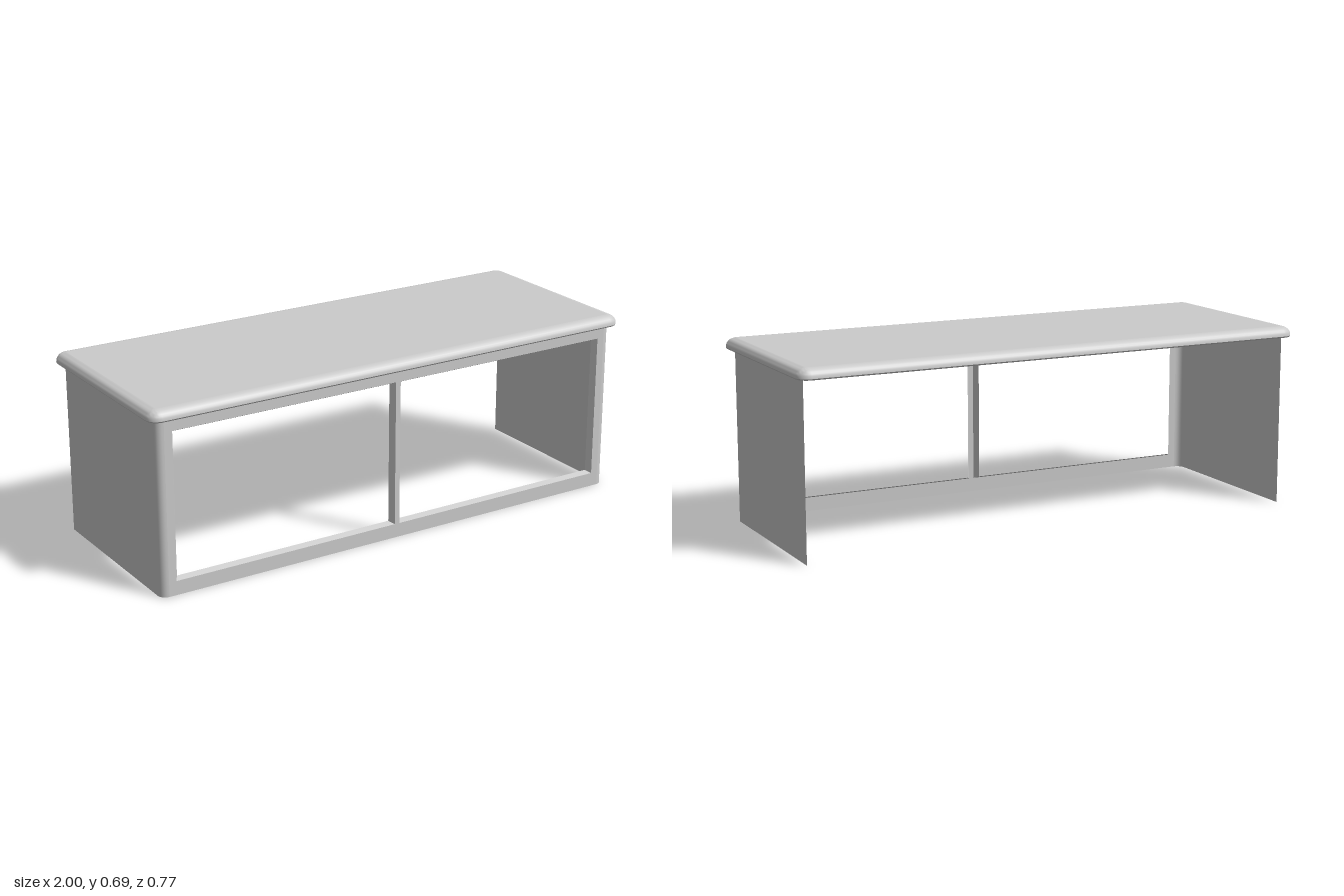
import * as THREE from 'three';
import { toCreasedNormals } from 'three/addons/utils/BufferGeometryUtils.js';

const material = new THREE.MeshStandardMaterial({ color: 0xcccccc, side: THREE.DoubleSide });

// Skin a surface over successive rows of [x, y, z] points.
function loft(rows, closed, crease) {
  const n = rows[0].length, index = [];
  for (let i = 0; i < rows.length - 1; i++) {
    for (let j = 0; j < (closed ? n : n - 1); j++) {
      const k = (j + 1) % n;
      const a = i * n + j, b = i * n + k, c = a + n, d = b + n;
      index.push(a, b, c, b, d, c);
    }
  }
  const g = new THREE.BufferGeometry();
  g.setAttribute('position', new THREE.Float32BufferAttribute(rows.flat(2), 3));
  g.setIndex(index);
  return toCreasedNormals(g, crease);
}

// Rounded rectangle in plan, counterclockwise from above.
function planPoints(hx, hz, r, seg = 6) {
  const pts = [];
  const corners = [[1, 1], [-1, 1], [-1, -1], [1, -1]];
  corners.forEach(([sx, sz], q) => {
    for (let i = 0; i <= seg; i++) {
      const a = (q + i / seg) * Math.PI / 2;
      pts.push([sx * (hx - r) + r * Math.cos(a), -(sz * (hz - r) + r * Math.sin(a))]);
    }
  });
  return pts;
}

const rect = (x0, x1, y0, y1, z) => [[x0, y0, z], [x1, y0, z], [x1, y1, z], [x0, y1, z]];

export function createModel() {
  const model = new THREE.Group();
  const add = (name, geometry) => {
    const mesh = new THREE.Mesh(geometry, material);
    mesh.name = name;
    model.add(mesh);
  };
  const HX = 0.97, FRONT = 0.36, BACK = -0.34, H = 0.652, R = 0.03;

  // Tabletop shell, open underneath: lip, rolled edge
  const profile = [[0.036, 0.65], [0.004, 0.65], [0, 0.655]];
  for (let i = 1; i <= 7; i++) {
    const a = (i / 7) * Math.PI / 2;
    profile.push([0.038 * (1 - Math.cos(a)), 0.657 + 0.033 * Math.sin(a)]);
  }
  const rows = profile.map(([inset, y]) =>
    planPoints(1 - inset, 0.387 - inset, 0.045 - inset).map(([x, z]) => [x, y, z]));
  add('tabletopEdge', loft(rows, true, 0.6));

  // Flat tabletop surface
  const outline = planPoints(0.962, 0.349, 0.007).map(([x, z]) => new THREE.Vector2(x, -z));
  const cap = new THREE.ShapeGeometry(new THREE.Shape(outline));
  cap.rotateX(-Math.PI / 2).translate(0, 0.69, 0);
  add('tabletop', cap);

  // Thin side panels wrapping round the front corners
  const leftPath = [[HX, BACK], [HX, FRONT - R]];
  for (let i = 1; i <= 6; i++) {
    const a = (i / 6) * Math.PI / 2;
    leftPath.push([HX - R + R * Math.cos(a), FRONT - R + R * Math.sin(a)]);
  }
  const wall = path => loft([0, H].map(y => path.map(([x, z]) => [x, y, z])), false, 0.6);
  add('rightSidePanel', wall(leftPath.map(([x, z]) => [-x, z])));
  add('leftSidePanel', wall([...leftPath].reverse()));

  // Front frame with two openings either side of a mullion
  const w = HX - R;
  const frame = new THREE.Shape([[-w, 0], [w, 0], [w, H], [-w, H]].map(p => new THREE.Vector2(...p)));
  const openings = [[-0.912, -0.01], [0.01, 0.912]];
  for (const [x0, x1] of openings) {
    const pts = rect(x0, x1, 0.053, 0.604, 0).map(([x, y]) => new THREE.Vector2(x, y));
    frame.holes.push(new THREE.Path(pts.reverse()));
  }
  add('frontFrame', new THREE.ShapeGeometry(frame).translate(0, 0, FRONT));

  // Sloped reveals lining the openings
  for (const [x0, x1] of openings) {
    const b = 0.014;
    add(x0 < 0 ? 'rightReveal' : 'leftReveal', loft([
      rect(x0, x1, 0.053, 0.604, FRONT),
      rect(x0 + b, x1 - b, 0.062, 0.594, FRONT - 0.022),
    ], true, 0.3));
  }
  return model;
}
